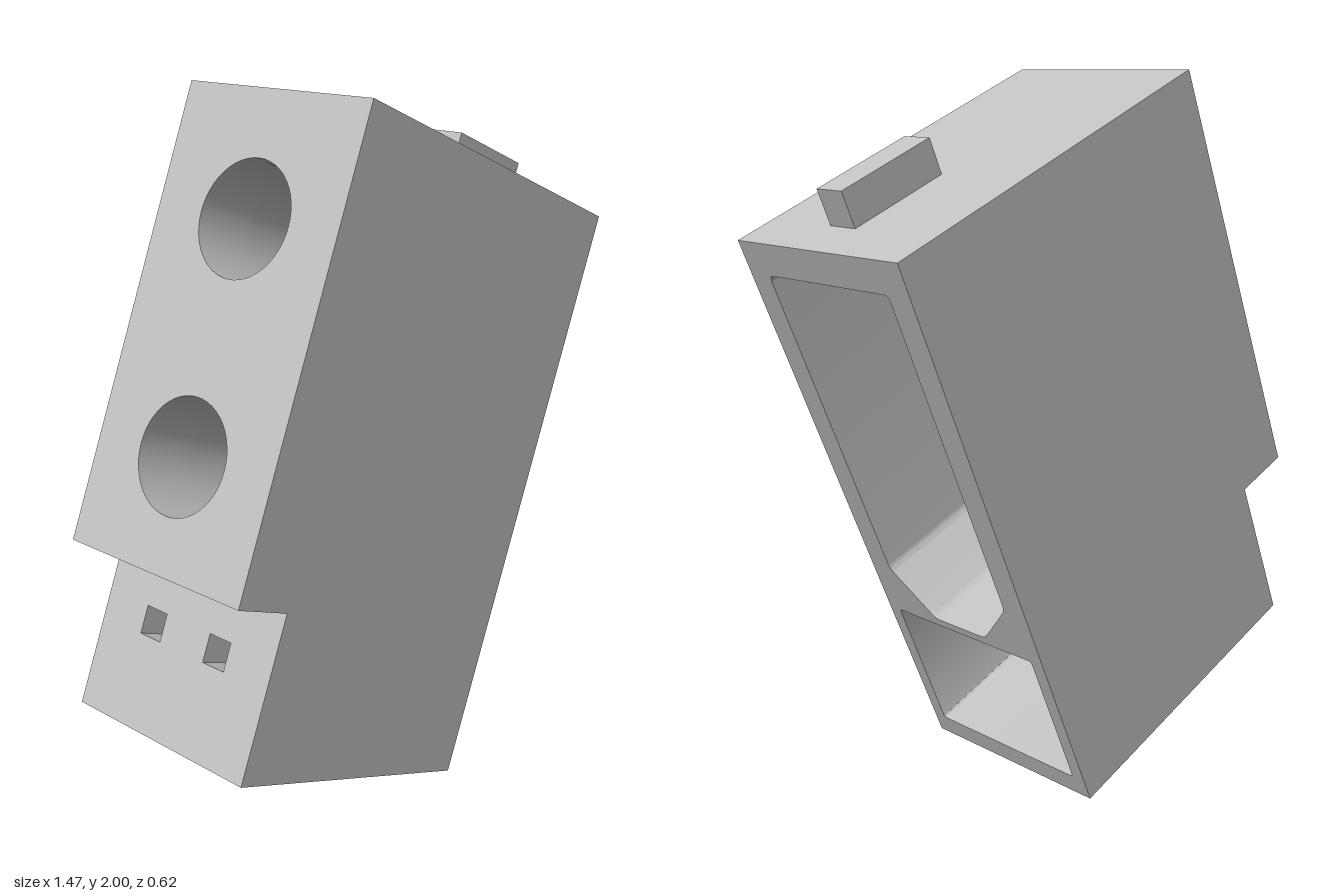
import * as THREE from 'three';
import { toCreasedNormals } from 'three/addons/utils/BufferGeometryUtils.js';

const HALF = 0.31, TOP = 1.668;      // housing half thickness and height
const CAVITY = -0.73, WALL = -0.897, BACK = -1.072; // depths measured from the open face

// closed outline with its corners rounded by r
function rounded(points, r, Type = THREE.Path) {
  const p = points.map(([x, y]) => new THREE.Vector2(x, y));
  const path = new Type();
  p.forEach((c, i) => {
    const prev = p[(i + p.length - 1) % p.length], next = p[(i + 1) % p.length];
    const a = c.clone().add(prev.clone().sub(c).setLength(r));
    const b = c.clone().add(next.clone().sub(c).setLength(r));
    if (i === 0) path.moveTo(a.x, a.y); else path.lineTo(a.x, a.y);
    path.quadraticCurveTo(c.x, c.y, b.x, b.y);
  });
  path.closePath();
  return path;
}

function polygon(points, Type = THREE.Path) {
  return new Type(points.map(([x, y]) => new THREE.Vector2(x, y)));
}

const rect = (x, w, y0, y1) => [[x - w, y0], [x + w, y0], [x + w, y1], [x - w, y1]];

const circle = (y, r) => {
  const path = new THREE.Path();
  path.absarc(0, y, r, 0, Math.PI * 2, true);
  return path;
};

export function createModel() {
  const group = new THREE.Group();
  const body = new THREE.Group();
  body.name = 'tiltedHousing';
  const grey = new THREE.MeshStandardMaterial({ color: 0xc0c0c0 });
  grey.name = 'light grey';

  // one slice of the housing, from depth u0 to u1, pierced by holes
  function slice(name, y0, u0, u1, holes) {
    const shape = polygon(rect(0, HALF, y0, TOP), THREE.Shape);
    shape.holes.push(...holes);
    const geo = new THREE.ExtrudeGeometry(shape, { depth: u1 - u0, bevelEnabled: false, curveSegments: 24 });
    geo.translate(0, 0, u0).rotateY(Math.PI / 2);
    const mesh = new THREE.Mesh(toCreasedNormals(geo, 0.6), grey);
    mesh.name = name;
    body.add(mesh);
  }

  const ports = () => [circle(0.741, 0.152), circle(1.343, 0.152)];

  // open front with the connector cavity and the lower compartment
  const connector = rounded([
    [-0.1, 0.51], [0.1, 0.51], [0.232, 0.65], [0.232, 1.577], [-0.232, 1.577], [-0.232, 0.65],
  ], 0.018);
  const compartment = rounded(rect(0, 0.267, 0.065, 0.487), 0.012);
  slice('cavityFrame', 0, CAVITY, 0, [connector, compartment]);

  // wall behind the cavities, with cable ports and two small slots
  const slots = [-0.12, 0.12].map((x) => polygon(rect(x, 0.038, 0.243, 0.319)));
  slice('backWall', 0, WALL, CAVITY, [...ports(), ...slots]);

  // raised block that carries the cable ports
  slice('portBlock', 0.443, BACK, WALL, ports());

  // locating keys on the two ends
  [['topKey', TOP + 0.049, 0.024], ['bottomKey', -0.048, 0.03]].forEach(([name, y, z]) => {
    const key = new THREE.Mesh(new THREE.BoxGeometry(0.298, 0.098, 0.096), grey);
    key.name = name;
    key.position.set(-0.267, y, z);
    body.add(key);
  });

  body.rotation.z = -THREE.MathUtils.degToRad(22.6);
  body.position.set(0.094, 0.046, 0);
  group.add(body);
  return group;
}
